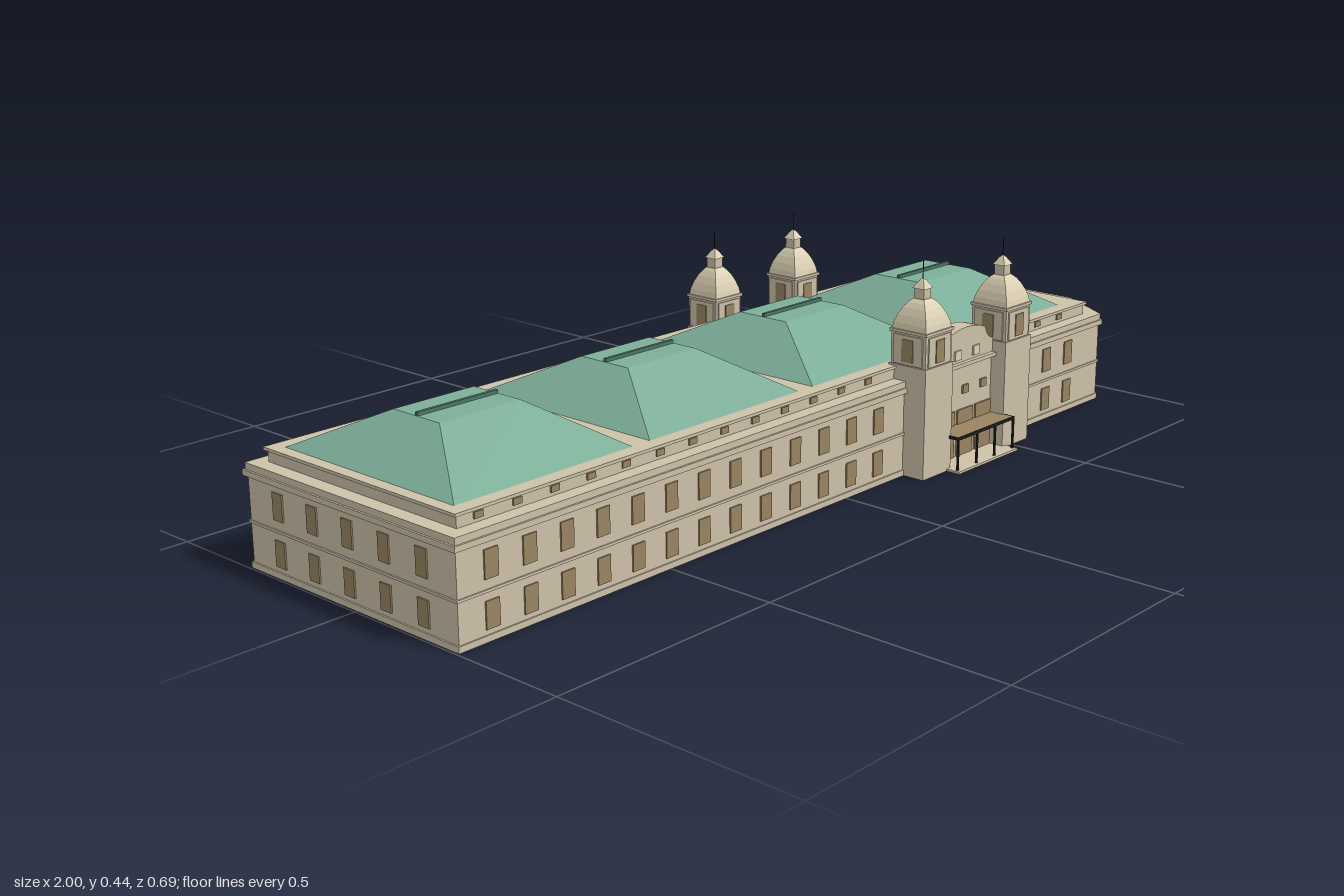
import * as THREE from 'three';

const mat = (name, color, extra = {}) => Object.assign(new THREE.MeshStandardMaterial({ color, ...extra }), { name });

export function createModel() {
  const stone = mat('stone', 0xcdc1a8);
  const paleStone = mat('pale stone', 0xddd2b5);
  const copper = mat('green copper', 0x7cae98);
  const darkCopper = mat('dark copper', 0x4d7767);
  const glass = mat('brown glass', 0x9a8462);
  const iron = mat('black iron', 0x1e1e1c);

  const model = new THREE.Group();
  model.name = 'palaceBuilding';

  const add = (parent, name, geo, material, x = 0, y = 0, z = 0) => {
    const m = new THREE.Mesh(geo, material);
    m.name = name;
    m.position.set(x, y, z);
    parent.add(m);
    return m;
  };
  // Box given by its limits on each axis
  const block = (parent, name, material, x0, x1, y0, y1, z0, z1) =>
    add(parent, name, new THREE.BoxGeometry(x1 - x0, y1 - y0, z1 - z0), material,
      (x0 + x1) / 2, (y0 + y1) / 2, (z0 + z1) / 2);
  // Thin plate on a wall facing z or x
  const T = 0.006;
  const plateZ = (parent, name, x, y0, y1, z, w, material = glass) =>
    block(parent, name, material, x - w / 2, x + w / 2, y0, y1, z - T / 2, z + T / 2);
  const plateX = (parent, name, z, y0, y1, x, w, material = glass) =>
    block(parent, name, material, x - T / 2, x + T / 2, y0, y1, z - w / 2, z + w / 2);

  // Main block: footprint with one cut corner, stacked in bands
  const slab = (name, inset, y0, y1) => {
    const i = inset;
    const s = new THREE.Shape([
      [-1 + i, 0.305 - i], [-1 + i, -0.27 + i], [0.915 - i * 0.5, -0.27 + i],
      [1 - i, -0.135 + i * 0.5], [1 - i, 0.305 - i],
    ].map(([x, y]) => new THREE.Vector2(x, y)));
    const g = new THREE.ExtrudeGeometry(s, { depth: y1 - y0, bevelEnabled: false });
    g.rotateX(-Math.PI / 2);
    add(model, name, g, stone, 0, y0, 0);
  };
  slab('mainWalls', 0.007, 0, 0.19);
  slab('plinth', 0.004, 0, 0.012);
  slab('stringCourse', 0.004, 0.087, 0.092);
  slab('cornice', 0, 0.176, 0.187);
  slab('parapet', 0.004, 0.187, 0.2);

  // Attic storey
  block(model, 'attic', stone, -0.966, 0.886, 0.2, 0.224, -0.272, 0.236);
  block(model, 'atticCap', stone, -0.972, 0.892, 0.222, 0.228, -0.277, 0.241);

  // Four hipped roofs with a flat top and ridge vent
  for (const x of [-0.742, -0.288, 0.165, 0.618]) {
    const g = new THREE.BoxGeometry(0.416, 0.081, 0.464);
    const p = g.attributes.position;
    for (let i = 0; i < p.count; i++) {
      if (p.getY(i) > 0) p.setXYZ(i, p.getX(i) * 0.445, p.getY(i), p.getZ(i) * 0.268);
    }
    g.computeVertexNormals();
    add(model, 'roof', g, copper, x, 0.2665, -0.018);
    block(model, 'ridgeVent', darkCopper, x - 0.092, x + 0.092, 0.306, 0.314, -0.021, -0.014);
  }

  // Window rows
  const rows = [[0.022, 0.072], [0.11, 0.162]];
  const columns = [];
  for (let i = 0; i < 13; i++) columns.push(-0.92 + i * 0.085);
  columns.push(0.615, 0.7, 0.785);
  for (const x of columns) {
    for (const [a, b] of rows) {
      plateZ(model, 'frontWindow', x, a, b, 0.263, 0.03);
      plateZ(model, 'backWindow', x, a, b, -0.298, 0.03);
    }
    plateZ(model, 'atticWindowFront', x, 0.207, 0.219, 0.236, 0.02);
    plateZ(model, 'atticWindowBack', x, 0.207, 0.219, -0.272, 0.02);
  }
  for (const [a, b] of rows) {
    plateZ(model, 'backWindow', 0.87, a, b, -0.298, 0.03);
    for (let i = 0; i < 5; i++) {
      const z = -0.212 + i * 0.0975;
      if (i < 4) plateX(model, 'leftWindow', z, a, b, 0.993, 0.028);
      plateX(model, 'rightWindow', z, a, b, -0.993, 0.028);
    }
  }

  // Square tower with bell dome, lantern, cap and spike
  const squareLathe = (pts) => {
    const g = new THREE.LatheGeometry(pts.map(([r, y]) => new THREE.Vector2(r * Math.SQRT2, y)), 4);
    g.rotateY(Math.PI / 4);
    const flat = g.toNonIndexed();
    flat.computeVertexNormals();
    return flat;
  };
  const tower = (name, x, z, half, top) => {
    const t = new THREE.Group();
    t.name = name;
    t.position.set(x, 0, z);
    model.add(t);
    const h = half, up = top - 0.076;
    block(t, 'shaft', stone, -h, h, 0, up, -h, h);
    block(t, 'belfry', stone, -h + 0.003, h - 0.003, up, top, -h + 0.003, h - 0.003);
    block(t, 'belfrySill', stone, -h, h, up - 0.004, up + 0.003, -h, h);
    block(t, 'belfryCornice', stone, -h, h, top - 0.006, top, -h, h);
    for (const s of [-1, 1]) {
      const f = s * (h - 0.003);
      plateZ(t, 'belfryPanel', 0, up + 0.005, top - 0.01, f, h * 1.55, stone);
      plateX(t, 'belfryPanel', 0, up + 0.005, top - 0.01, f, h * 1.55, stone);
      plateZ(t, 'belfryWindow', 0, up + 0.011, top - 0.018, f + s * 0.002, 0.028);
      plateX(t, 'belfryWindow', 0, up + 0.011, top - 0.018, f + s * 0.002, 0.028);
    }
    const k = h * 0.92;
    add(t, 'dome', squareLathe([[k, 0], [k * 0.95, 0.012], [k * 0.83, 0.027], [k * 0.66, 0.042],
      [k * 0.48, 0.053], [0.013, 0.06], [0, 0.06]]), paleStone, 0, top, 0);
    add(t, 'lantern', squareLathe([[0.012, 0.058], [0.012, 0.082]]), stone, 0, top, 0);
    add(t, 'cap', squareLathe([[0, 0.081], [0.015, 0.081], [0.005, 0.097], [0, 0.101]]), paleStone, 0, top, 0);
    add(t, 'spike', new THREE.CylinderGeometry(0.001, 0.001, 0.038, 6), iron, 0, top + 0.118, 0);
  };
  for (const x of [0.231, 0.51]) tower('frontTower', x, 0.269, 0.0465, 0.305);
  for (const x of [0.235, 0.5]) tower('backTower', x, -0.3, 0.043, 0.28);

  // Front entrance bay with curved gable
  block(model, 'entranceWall', stone, 0.27, 0.47, 0, 0.2, 0.2, 0.28);
  block(model, 'entranceCornice', stone, 0.27, 0.47, 0.2, 0.208, 0.24, 0.292);
  const gable = new THREE.Shape();
  gable.moveTo(0.275, 0.207);
  gable.lineTo(0.467, 0.207);
  gable.lineTo(0.467, 0.238);
  gable.quadraticCurveTo(0.44, 0.243, 0.436, 0.268);
  gable.quadraticCurveTo(0.37, 0.292, 0.304, 0.268);
  gable.quadraticCurveTo(0.3, 0.243, 0.275, 0.238);
  add(model, 'curvedGable', new THREE.ExtrudeGeometry(gable, { depth: 0.04, bevelEnabled: false, curveSegments: 8 }),
    stone, 0, 0, 0.242);
  for (const x of [0.306, 0.37, 0.434]) {
    plateZ(model, 'entranceDoor', x, 0.005, 0.105, 0.281, 0.054);
    plateZ(model, 'entranceWindow', x, 0.138, 0.156, 0.281, 0.02);
  }
  for (const x of [0.338, 0.402]) plateZ(model, 'gablePanel', x, 0.215, 0.235, 0.283, 0.022, paleStone);

  // Glazed iron canopy over the entrance step
  block(model, 'entranceStep', stone, 0.265, 0.475, 0, 0.005, 0.27, 0.347);
  block(model, 'canopyGlass', glass, 0.274, 0.466, 0.071, 0.075, 0.28, 0.337);
  block(model, 'canopyFrontBeam', iron, 0.27, 0.47, 0.069, 0.075, 0.336, 0.34);
  for (const x of [0.272, 0.468]) block(model, 'canopySideBeam', iron, x - 0.002, x + 0.002, 0.069, 0.075, 0.28, 0.34);
  for (const x of [0.272, 0.338, 0.402, 0.468]) {
    block(model, 'canopyPost', iron, x - 0.002, x + 0.002, 0.005, 0.07, 0.336, 0.34);
  }

  // Back bay with a grouped window
  block(model, 'backBay', stone, 0.27, 0.465, 0, 0.205, -0.32, -0.26);
  block(model, 'backBayCap', stone, 0.27, 0.465, 0.2, 0.208, -0.324, -0.256);
  for (let i = 0; i < 5; i++) {
    plateZ(model, 'backBayWindow', 0.326 + i * 0.021, 0.085, i % 2 ? 0.158 : 0.165, -0.321, 0.018);
  }
  return model;
}
